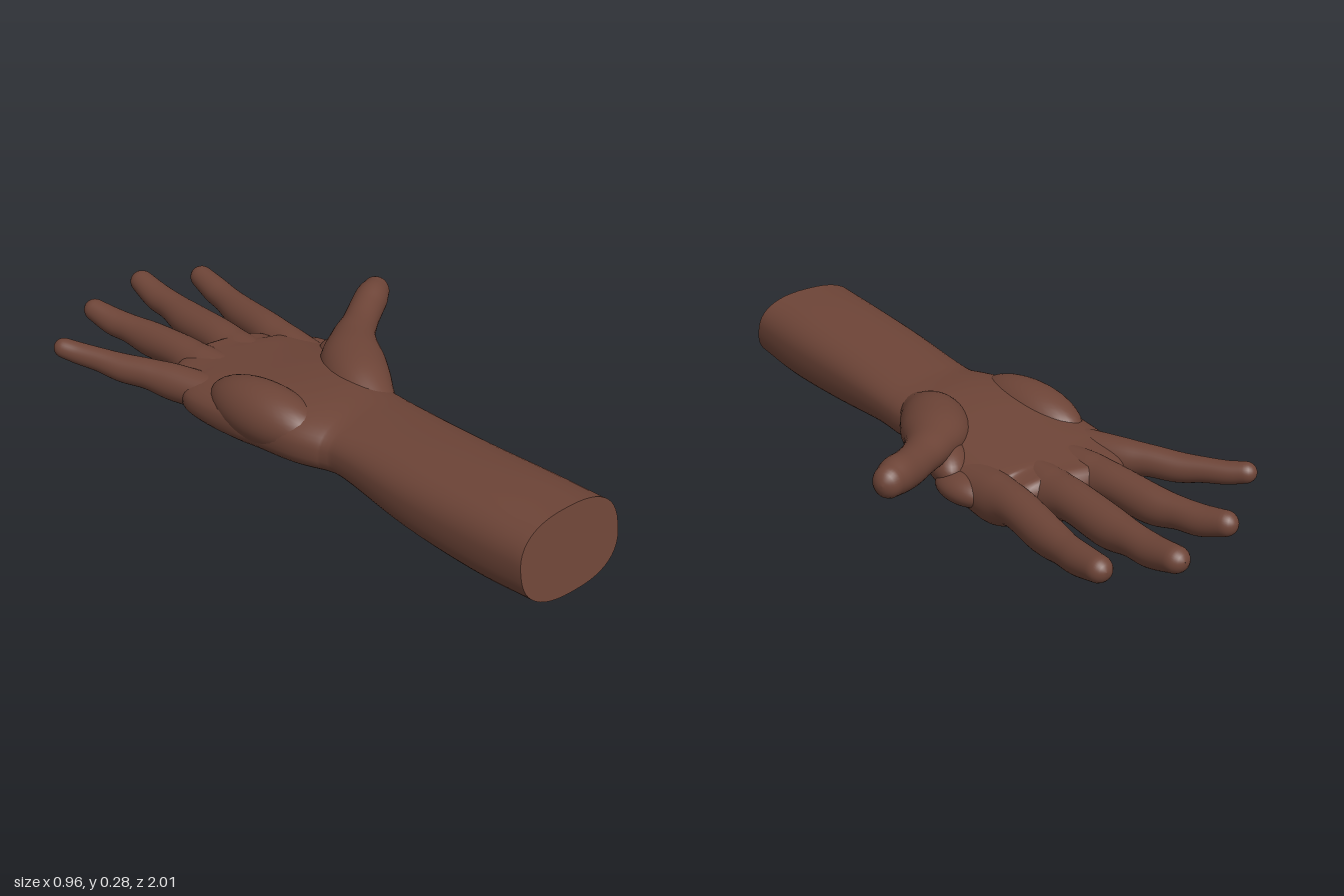
import * as THREE from 'three';

const skin = new THREE.MeshStandardMaterial({ color: 0x6d4437 });
skin.name = 'brown skin';
const UP = new THREE.Vector3(0, 1, 0);

// Smooth skin over sections [x, y, z, half width, half height], rounded off at the far end
function loft(name, sections, { steps = 6, sides = 32, power = 2, round = 0.04, rule } = {}) {
  const path = new THREE.CatmullRomCurve3(sections.map(s => new THREE.Vector3(s[0], s[1], s[2])), false, 'catmullrom');
  const size = new THREE.CatmullRomCurve3(sections.map(s => new THREE.Vector3(s[3], s[4], 0)), false, 'catmullrom');
  const n = (sections.length - 1) * steps;
  const pos = [], index = [];
  const bend = c => Math.sign(c) * Math.pow(Math.abs(c), 2 / power);
  function ring(p, t, w, h) {
    const side = new THREE.Vector3().crossVectors(t, UP).normalize();
    const up = new THREE.Vector3().crossVectors(side, t);
    for (let j = 0; j < sides; j++) {
      const a = j / sides * Math.PI * 2;
      const v = p.clone().addScaledVector(side, w * bend(Math.cos(a))).addScaledVector(up, h * bend(Math.sin(a)));
      if (rule) rule(v);
      pos.push(v.x, v.y, v.z);
    }
  }
  for (let i = 0; i <= n; i++) {
    const s = size.getPoint(i / n);
    ring(path.getPoint(i / n), path.getTangent(i / n), s.x, s.y);
  }
  const end = path.getPoint(1), dir = path.getTangent(1), last = size.getPoint(1);
  for (let k = 1; k <= 6; k++) {
    const a = k / 6 * Math.PI / 2, c = Math.max(Math.cos(a), 0.01);
    ring(end.clone().addScaledVector(dir, round * Math.sin(a)), dir, last.x * c, last.y * c);
  }
  for (let i = 0; i < n + 6; i++) for (let j = 0; j < sides; j++) {
    const k = (j + 1) % sides;
    const a = i * sides + j, b = i * sides + k, c = b + sides, d = a + sides;
    index.push(a, d, b, b, d, c);
  }
  const g = new THREE.BufferGeometry();
  g.setAttribute('position', new THREE.Float32BufferAttribute(pos, 3));
  g.setIndex(index);
  g.computeVertexNormals();
  const mesh = new THREE.Mesh(g, skin);
  mesh.name = name;
  return mesh;
}

// Soft muscle pad
function pad(name, p, r, turn = 0) {
  const mesh = new THREE.Mesh(new THREE.SphereGeometry(1, 32, 20), skin);
  mesh.name = name;
  mesh.position.set(...p);
  mesh.scale.set(...r);
  mesh.rotation.y = turn;
  return mesh;
}

export function createModel() {
  const hand = new THREE.Group();
  hand.name = 'hand';

  // Forearm, wrist and palm in one piece, with the cut end leaning back slightly
  const lean = v => { if (v.z > 0.9) v.z -= Math.max(0, v.y - 0.02) * 0.13 * (v.z - 0.9) / 0.1; };
  const arm = loft('forearmAndPalm', [
    [-0.08, 0.138, 1.0, 0.183, 0.117],
    [-0.08, 0.128, 0.8, 0.183, 0.123],
    [-0.08, 0.127, 0.55, 0.179, 0.112],
    [-0.07, 0.135, 0.3, 0.172, 0.09],
    [-0.072, 0.135, 0.2, 0.18, 0.087],
    [-0.09, 0.137, 0.08, 0.21, 0.093],
    [-0.08, 0.13, -0.05, 0.24, 0.094],
    [-0.075, 0.122, -0.2, 0.258, 0.085],
    [-0.07, 0.12, -0.3, 0.255, 0.076],
    [-0.07, 0.12, -0.38, 0.222, 0.068],
    [-0.06, 0.127, -0.44, 0.165, 0.056],
  ], { sides: 48, power: 2.5, round: 0.04, rule: lean });
  hand.add(arm);

  // Flat cut end, fanned over the first ring of the forearm
  const src = arm.geometry.attributes.position, rim = [], fan = [];
  for (let j = 0; j < 48; j++) {
    rim.push(new THREE.Vector3().fromBufferAttribute(src, j));
  }
  const mid = new THREE.Vector3(-0.08, 0.138, (rim[0].z + rim[24].z) / 2);
  rim.forEach((v, j) => fan.push(mid, v, rim[(j + 1) % 48]));
  const capGeometry = new THREE.BufferGeometry().setFromPoints(fan);
  capGeometry.computeVertexNormals();
  const cap = new THREE.Mesh(capGeometry, skin);
  cap.name = 'forearmEnd';
  hand.add(cap);

  // Fingers, swelling at each joint and starting inside the palm
  hand.add(loft('littleFinger', [
    [-0.22, 0.13, -0.2, 0.06, 0.05],
    [-0.285, 0.135, -0.38, 0.055, 0.056],
    [-0.325, 0.145, -0.47, 0.045, 0.047],
    [-0.362, 0.147, -0.55, 0.042, 0.044],
    [-0.395, 0.158, -0.62, 0.035, 0.037],
    [-0.425, 0.166, -0.68, 0.033, 0.034],
    [-0.452, 0.177, -0.725, 0.031, 0.031],
  ], { round: 0.033 }));
  hand.add(loft('ringFinger', [
    [-0.13, 0.125, -0.25, 0.06, 0.06],
    [-0.155, 0.122, -0.42, 0.066, 0.073],
    [-0.162, 0.14, -0.52, 0.056, 0.056],
    [-0.174, 0.137, -0.66, 0.052, 0.056],
    [-0.19, 0.145, -0.75, 0.043, 0.046],
    [-0.205, 0.15, -0.82, 0.042, 0.044],
    [-0.222, 0.168, -0.892, 0.035, 0.036],
  ], { round: 0.038 }));
  hand.add(loft('middleFinger', [
    [-0.02, 0.125, -0.25, 0.065, 0.06],
    [-0.015, 0.117, -0.42, 0.07, 0.075],
    [-0.01, 0.138, -0.53, 0.06, 0.058],
    [-0.003, 0.135, -0.69, 0.057, 0.058],
    [0.003, 0.145, -0.79, 0.047, 0.047],
    [0.006, 0.15, -0.87, 0.046, 0.045],
    [0.01, 0.17, -0.958, 0.039, 0.037],
  ], { round: 0.042 }));
  hand.add(loft('indexFinger', [
    [0.11, 0.12, -0.2, 0.08, 0.055],
    [0.125, 0.117, -0.36, 0.068, 0.072],
    [0.135, 0.137, -0.47, 0.057, 0.056],
    [0.155, 0.132, -0.62, 0.053, 0.055],
    [0.171, 0.14, -0.72, 0.045, 0.045],
    [0.18, 0.147, -0.79, 0.044, 0.044],
    [0.188, 0.162, -0.872, 0.038, 0.037],
  ], { round: 0.041 }));

  // Thumb, growing out of the muscle at its root
  hand.add(loft('thumb', [
    [0.02, 0.145, 0.17, 0.06, 0.06],
    [0.055, 0.17, 0.05, 0.095, 0.085],
    [0.12, 0.192, -0.06, 0.098, 0.077],
    [0.2, 0.208, -0.145, 0.07, 0.058],
    [0.27, 0.213, -0.197, 0.056, 0.052],
    [0.34, 0.222, -0.245, 0.053, 0.054],
    [0.395, 0.234, -0.278, 0.052, 0.054],
    [0.435, 0.238, -0.302, 0.044, 0.047],
  ], { round: 0.042 }));

  // Heel of the hand, thumb web and index knuckle
  hand.add(pad('heelPad', [-0.232, 0.158, -0.04], [0.095, 0.092, 0.21], 0.08));
  hand.add(pad('thumbWeb', [0.14, 0.15, -0.15], [0.06, 0.06, 0.11], -0.5));
  hand.add(pad('indexKnuckle', [0.165, 0.12, -0.27], [0.06, 0.045, 0.1], 0.2));
  return hand;
}
